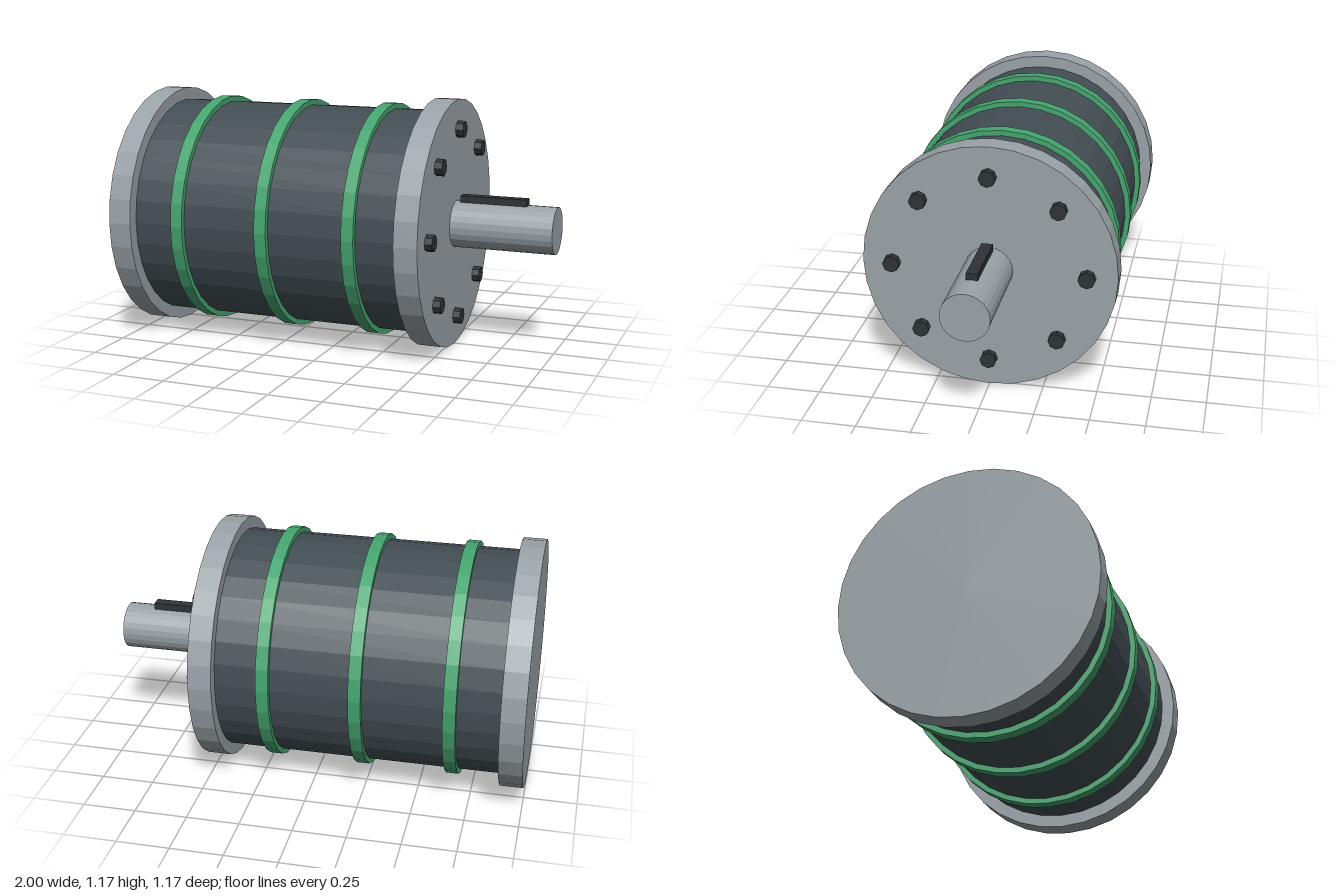
import * as THREE from 'three';

const AXIS_Y = 0.584; // height of the motor axis

const paint = (color) => new THREE.MeshStandardMaterial({ color, flatShading: true });

export function createModel() {
  const group = new THREE.Group();
  const steel = paint(0x9aa3a8);
  const casing = paint(0x434e54);
  const green = paint(0x45a570);
  const dark = paint(0x2e3337);

  // Cylinder lying along x, from x0 to x1
  function drum(name, material, radius, x0, x1, sides = 32, y = 0, z = 0) {
    const geometry = new THREE.CylinderGeometry(radius, radius, x1 - x0, sides);
    geometry.rotateZ(-Math.PI / 2);
    const mesh = new THREE.Mesh(geometry, material);
    mesh.name = name;
    mesh.position.set((x0 + x1) / 2, AXIS_Y + y, z);
    group.add(mesh);
  }

  // Casing between two end plates
  drum('casing', casing, 0.527, -0.895, 0.415);
  drum('rearEndPlate', steel, 0.584, -1, -0.89);
  drum('frontEndPlate', steel, 0.584, 0.41, 0.52);

  // Raised bands around the casing
  [-0.665, -0.24, 0.183].forEach((x, i) => {
    drum(`band${i + 1}`, green, 0.552, x - 0.029, x + 0.029);
  });

  // Output shaft with its key
  drum('shaft', steel, 0.11, 0.51, 1, 24);
  const key = new THREE.Mesh(new THREE.BoxGeometry(0.315, 0.055, 0.052), dark);
  key.name = 'shaftKey';
  key.position.set(0.703, AXIS_Y + 0.111, 0);
  group.add(key);

  // Ring of bolts on the front end plate
  for (let i = 0; i < 8; i++) {
    const a = (i * Math.PI) / 4;
    drum(`bolt${i + 1}`, dark, 0.039, 0.5, 0.555, 8, 0.446 * Math.cos(a), 0.446 * Math.sin(a));
  }

  return group;
}
